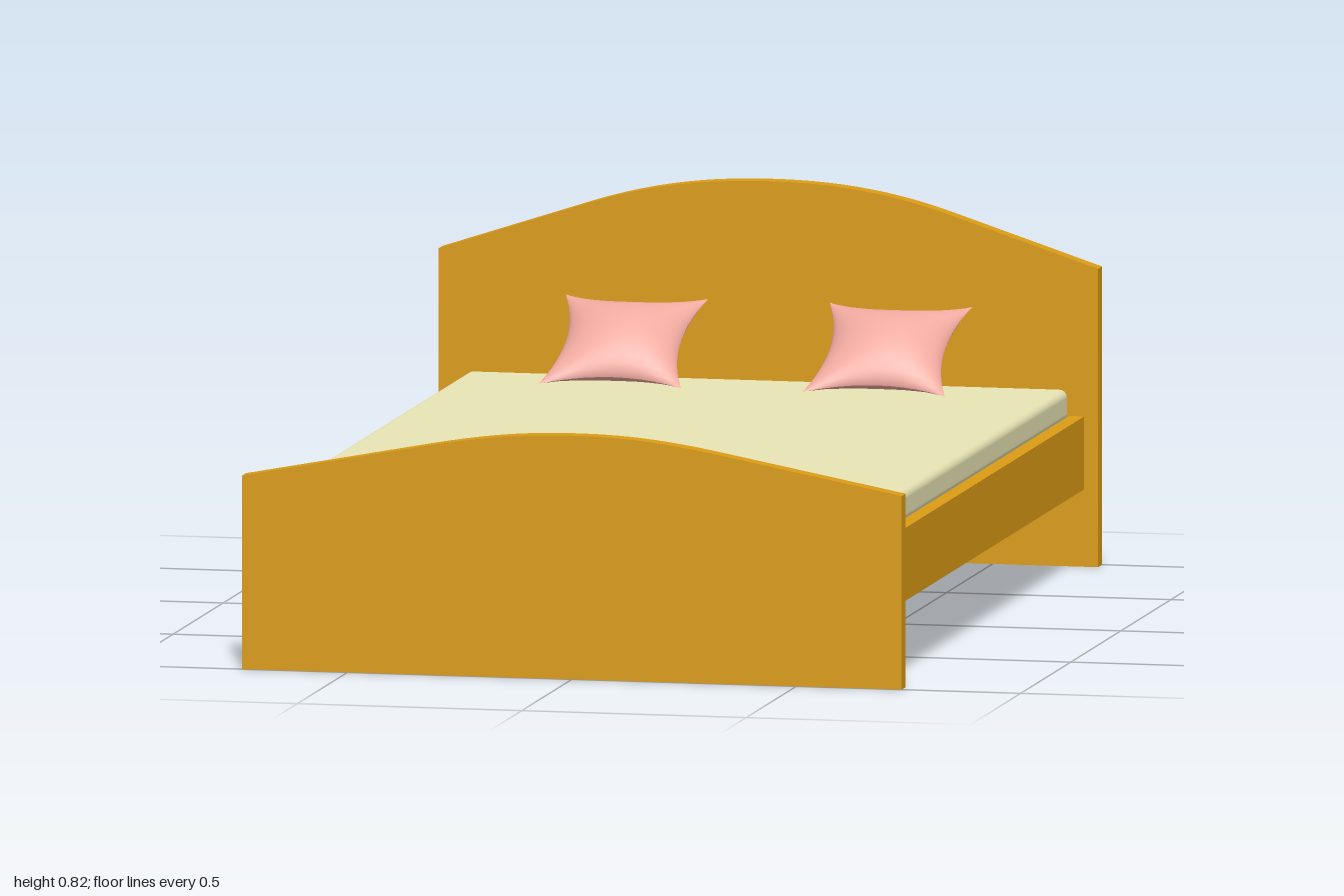
import * as THREE from 'three';
import { RoundedBoxGeometry } from 'three/addons/geometries/RoundedBoxGeometry.js';
import { mergeGeometries } from 'three/addons/utils/BufferGeometryUtils.js';

const wood = new THREE.MeshStandardMaterial({ color: 0xdb9c15 });
const cream = new THREE.MeshStandardMaterial({ color: 0xe8e4b4 });
const pink = new THREE.MeshStandardMaterial({ color: 0xf0aaa0 });

const HALF_WIDTH = 0.735, BOARD = 0.04;

function add(group, name, geometry, material, x = 0, y = 0, z = 0) {
  const mesh = new THREE.Mesh(geometry, material);
  mesh.name = name;
  mesh.position.set(x, y, z);
  group.add(mesh);
  return mesh;
}

// Upright panel: straight shoulders that blend into an arched crown.
function archedBoard(edgeY, [bendX, bendY], [c1x, c1y], c2x, topY) {
  const s = new THREE.Shape();
  s.moveTo(-HALF_WIDTH, 0);
  s.lineTo(HALF_WIDTH, 0);
  s.lineTo(HALF_WIDTH, edgeY);
  s.lineTo(bendX, bendY);
  s.bezierCurveTo(c1x, c1y, c2x, topY, 0, topY);
  s.bezierCurveTo(-c2x, topY, -c1x, c1y, -bendX, bendY);
  s.lineTo(-HALF_WIDTH, edgeY);
  s.closePath();
  return new THREE.ExtrudeGeometry(s, { depth: BOARD, bevelEnabled: false, curveSegments: 12 });
}

// Square cushion: two bulging sheets with pinched-in edges and pointed corners.
function cushion(size, thickness, pinch) {
  const half = size / 2;
  const top = new THREE.PlaneGeometry(2, 2, 16, 16);
  const p = top.attributes.position;
  for (let i = 0; i < p.count; i++) {
    // sine spacing gathers rows near the seam
    const u = Math.sin(p.getX(i) * Math.PI / 2), v = Math.sin(p.getY(i) * Math.PI / 2);
    const bulge = Math.pow(Math.max(0, (1 - u * u) * (1 - v * v)), 0.65);
    p.setXYZ(i,
      u * (half - pinch * (1 - v * v)),
      v * (half - pinch * (1 - u * u)),
      bulge * thickness / 2);
  }
  top.rotateX(-Math.PI / 2);
  top.computeVertexNormals();
  return mergeGeometries([top, top.clone().rotateX(Math.PI)]);
}

export function createModel() {
  const bed = new THREE.Group();
  bed.name = 'bed';

  // End boards
  add(bed, 'headboard', archedBoard(0.655, [0.4, 0.765], [0.25, 0.814], 0.12, 0.825), wood, 0, 0, -1);
  add(bed, 'footboard', archedBoard(0.425, [0.35, 0.498], [0.22, 0.523], 0.13, 0.535), wood, 0, 0, 1 - BOARD);

  // Side rails
  for (const side of [1, -1]) {
    add(bed, side > 0 ? 'leftRail' : 'rightRail',
      new THREE.BoxGeometry(0.034, 0.16, 1.92), wood, side * 0.687, 0.25, 0);
  }

  // Base panel and mattress
  add(bed, 'basePanel', new THREE.BoxGeometry(1.34, 0.03, 1.92), wood, 0, 0.31, 0);
  add(bed, 'mattress', new RoundedBoxGeometry(1.34, 0.07, 1.915, 4, 0.018), cream, 0, 0.355, 0);

  // Pillows leaning towards the headboard
  const pillow = cushion(0.318, 0.115, 0.032);
  for (const [name, x] of [['leftPillow', 0.299], ['rightPillow', -0.289]]) {
    add(bed, name, pillow, pink, x, 0.485, -0.81).rotation.x = Math.PI / 6;
  }
  return bed;
}
